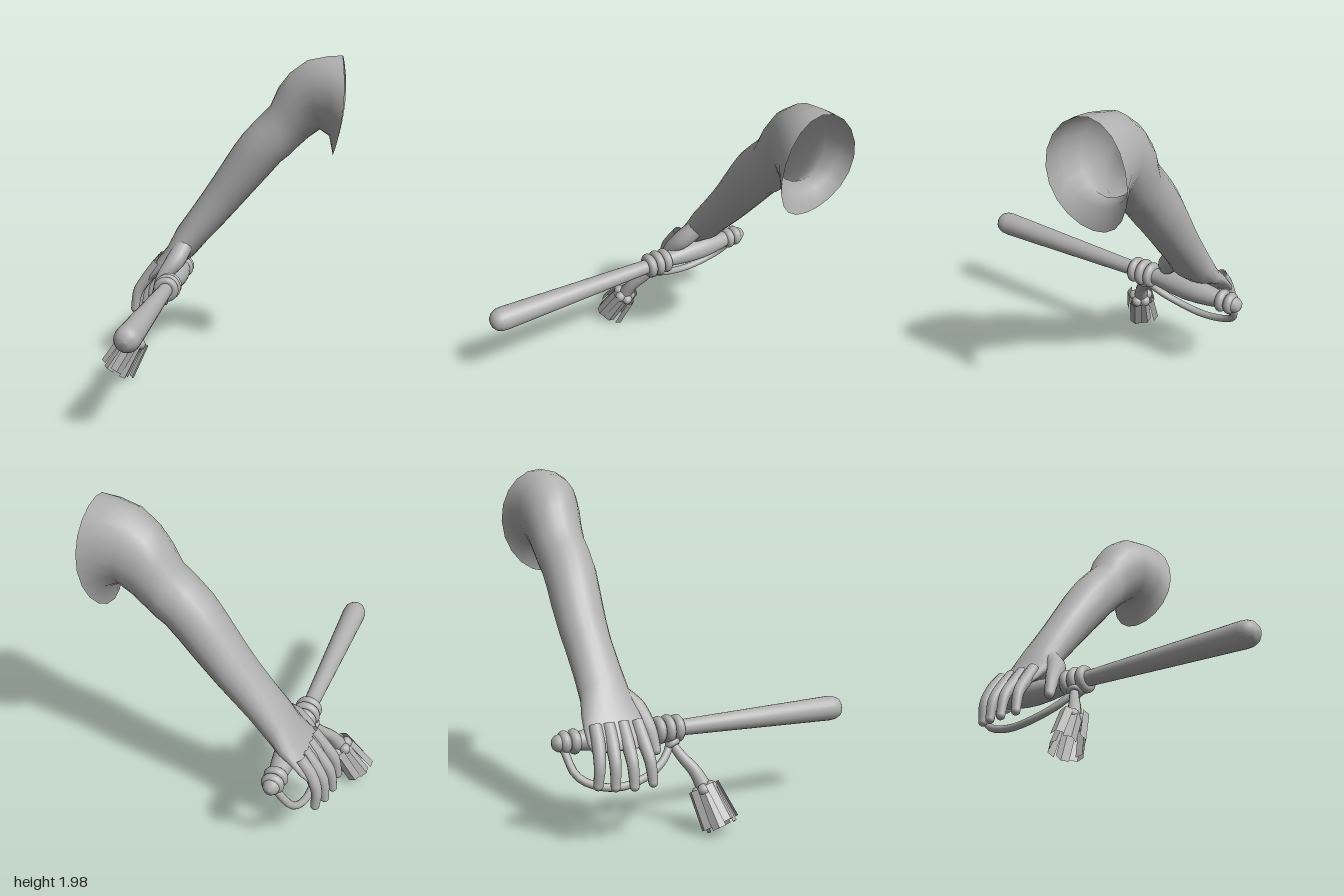
import * as THREE from 'three';

const V = (x, y, z) => new THREE.Vector3(x, y, z);

export function createModel() {
  const model = new THREE.Group();
  const grey = new THREE.MeshStandardMaterial({ color: 0xb0b0b0, side: THREE.DoubleSide });
  grey.name = 'plain grey';

  function add(name, geometry, parent = model) {
    const mesh = new THREE.Mesh(geometry, grey);
    mesh.name = name;
    parent.add(mesh);
    return mesh;
  }

  // Tube along points whose radius runs through a list of radii, with a round tip
  function taperedTube(name, points, radii, tip = true) {
    const curve = new THREE.CatmullRomCurve3(points);
    const n = 20, sides = 12;
    const geo = new THREE.TubeGeometry(curve, n, 1, sides);
    const pos = geo.attributes.position;
    const p = V(0, 0, 0);
    for (let i = 0; i <= n; i++) {
      const c = curve.getPointAt(i / n);
      const s = (i / n) * (radii.length - 1);
      const k = Math.min(Math.floor(s), radii.length - 2);
      const r = THREE.MathUtils.lerp(radii[k], radii[k + 1], s - k);
      for (let j = 0; j <= sides; j++) {
        const id = i * (sides + 1) + j;
        p.fromBufferAttribute(pos, id).sub(c).multiplyScalar(r).add(c);
        pos.setXYZ(id, p.x, p.y, p.z);
      }
    }
    const group = new THREE.Group();
    group.name = name;
    model.add(group);
    add(name + 'Shaft', geo, group);
    if (tip) {
      const ball = add(name + 'Tip', new THREE.SphereGeometry(radii[radii.length - 1], 12, 8), group);
      ball.position.copy(points[points.length - 1]);
    }
  }

  // Arm and palm: [upper x, upper y, lower x, lower y, z centre, half width, outward bulge]
  const sections = [
    [0.70, 2.00, 0.65, 1.38, -0.585, 0.245, 0.04],
    [0.61, 1.995, 0.625, 1.50, -0.59, 0.215, 0.02],
    [0.48, 1.97, 0.565, 1.54, -0.60, 0.185, 0],
    [0.37, 1.89, 0.49, 1.485, -0.605, 0.168, 0],
    [0.30, 1.80, 0.42, 1.42, -0.61, 0.155, 0],
    [0.25, 1.685, 0.37, 1.37, -0.605, 0.15, 0],
    [0.165, 1.60, 0.32, 1.33, -0.60, 0.15, 0],
    [0.08, 1.51, 0.25, 1.25, -0.60, 0.15, 0],
    [0.01, 1.415, 0.165, 1.155, -0.607, 0.147, 0],
    [-0.11, 1.23, 0.045, 1.02, -0.612, 0.138, 0],
    [-0.17, 1.14, -0.045, 0.92, -0.61, 0.133, 0],
    [-0.26, 1.01, -0.15, 0.81, -0.605, 0.135, 0],
    [-0.35, 0.885, -0.245, 0.70, -0.60, 0.142, 0],
    [-0.415, 0.76, -0.32, 0.645, -0.60, 0.165, 0],
    [-0.47, 0.69, -0.40, 0.615, -0.605, 0.175, 0],
    [-0.525, 0.61, -0.465, 0.57, -0.61, 0.175, 0],
    [-0.55, 0.555, -0.51, 0.535, -0.61, 0.16, 0],
    [-0.545, 0.545, -0.525, 0.535, -0.61, 0.1, 0],
  ];
  const N = 20, verts = [], index = [];
  sections.forEach(([tx, ty, bx, by, z, hw, bulge], i) => {
    for (let j = 0; j < N; j++) {
      const a = (j / N) * Math.PI * 2, c = Math.cos(a), s = Math.sin(a);
      verts.push((tx + bx) / 2 + c * (tx - bx) / 2 + bulge * s * s,
        (ty + by) / 2 + c * (ty - by) / 2, z + s * hw);
      if (i > 0) {
        const k = (j + 1) % N, p = (i - 1) * N, q = i * N;
        index.push(p + j, q + j, p + k, p + k, q + j, q + k);
      }
    }
  });
  const end = (sections.length - 1) * N;
  for (let j = 1; j < N - 1; j++) index.push(end, end + j + 1, end + j);
  const armGeo = new THREE.BufferGeometry();
  armGeo.setAttribute('position', new THREE.Float32BufferAttribute(verts, 3));
  armGeo.setIndex(index);
  armGeo.computeVertexNormals();
  add('armAndPalm', armGeo);

  // Four fingers: [root z, tip z, tip x, tip y]
  [[-0.485, -0.46, -0.612, 0.365], [-0.57, -0.57, -0.615, 0.36],
    [-0.65, -0.67, -0.595, 0.365], [-0.725, -0.755, -0.565, 0.375]].forEach(([rz, tz, x, y], i) => {
    taperedTube('finger' + (i + 1), [V(-0.46, 0.67, rz), V(-0.525, 0.58, rz * 0.7 + tz * 0.3),
      V((x - 0.57) / 2, 0.48, rz * 0.3 + tz * 0.7), V(x, y, tz)], [0.035, 0.037, 0.032, 0.026]);
  });
  taperedTube('thumb', [V(-0.29, 0.79, -0.52), V(-0.335, 0.70, -0.43), V(-0.41, 0.6, -0.385),
    V(-0.45, 0.49, -0.365)], [0.06, 0.062, 0.042, 0.028]);

  // Baton turned around its long axis: [radius, z]
  const profile = [[0, -0.93], [0.03, -0.922], [0.046, -0.9], [0.048, -0.87], [0.048, -0.79],
    [0.058, -0.74], [0.07, -0.64], [0.073, -0.56], [0.066, -0.45], [0.052, -0.35], [0.045, -0.3],
    [0.045, -0.17], [0.06, 0.35], [0.074, 0.84], [0.071, 0.875], [0.058, 0.905], [0.034, 0.924], [0, 0.93]];
  const baton = new THREE.Group();
  baton.name = 'baton';
  baton.position.set(-0.352, 0.57, 0);
  model.add(baton);
  add('batonShaft', new THREE.LatheGeometry(profile.map(([r, z]) => new THREE.Vector2(r, z)), 24)
    .rotateX(Math.PI / 2), baton);
  [[-0.19, 0.052], [-0.247, 0.056], [-0.304, 0.052], [-0.805, 0.042], [-0.86, 0.038]].forEach(([z, r], i) => {
    add('batonRing' + (i + 1), new THREE.TorusGeometry(r, 0.028, 12, 24), baton).position.z = z;
  });

  // Curved hand guard hanging below the grip
  taperedTube('handGuard', [V(-0.37, 0.52, -0.235), V(-0.42, 0.44, -0.29), V(-0.47, 0.37, -0.4),
    V(-0.495, 0.328, -0.58), V(-0.485, 0.35, -0.73), V(-0.45, 0.41, -0.83), V(-0.37, 0.54, -0.87)],
  [0.022, 0.022], false);

  // Cord from the baton to the tassel
  taperedTube('cord', [V(-0.38, 0.51, -0.245), V(-0.43, 0.43, -0.2), V(-0.49, 0.35, -0.145),
    V(-0.54, 0.26, -0.11)], [0.024, 0.03, 0.036, 0.045]);
  const cordDirection = V(-0.5, -0.8, 0.35).normalize();
  const collar = add('cordCollar', new THREE.TorusGeometry(0.03, 0.018, 10, 18));
  collar.position.set(-0.39, 0.492, -0.235);
  collar.quaternion.setFromUnitVectors(V(0, 0, 1), cordDirection);

  // Tassel: a ring of beads over folded hanging strips
  const tassel = new THREE.Group();
  tassel.name = 'tassel';
  tassel.position.set(-0.59, 0.165, -0.085);
  tassel.quaternion.setFromUnitVectors(V(0, -1, 0), V(-0.48, -0.85, 0.22).normalize());
  model.add(tassel);
  for (let i = 0; i < 5; i++) {
    const a = (i / 5) * Math.PI * 2;
    add('bead' + (i + 1), new THREE.SphereGeometry(0.034, 12, 8), tassel)
      .position.set(Math.cos(a) * 0.043, 0.105, Math.sin(a) * 0.043);
  }
  const strip = new THREE.CylinderGeometry(0.045, 0.045, 0.22, 2, 1, true, -1, 2).toNonIndexed();
  strip.computeVertexNormals();
  for (let i = 0; i < 8; i++) {
    const pivot = new THREE.Group();
    pivot.name = 'tasselStrand' + (i + 1);
    pivot.rotation.y = (i / 8) * Math.PI * 2;
    tassel.add(pivot);
    const mesh = add('strip', strip, pivot);
    mesh.position.set(0, i % 2 ? -0.012 : 0.008, i % 2 ? 0.035 : 0.06);
    mesh.rotation.set(-0.1, 0.35, 0);
  }
  return model;
}
